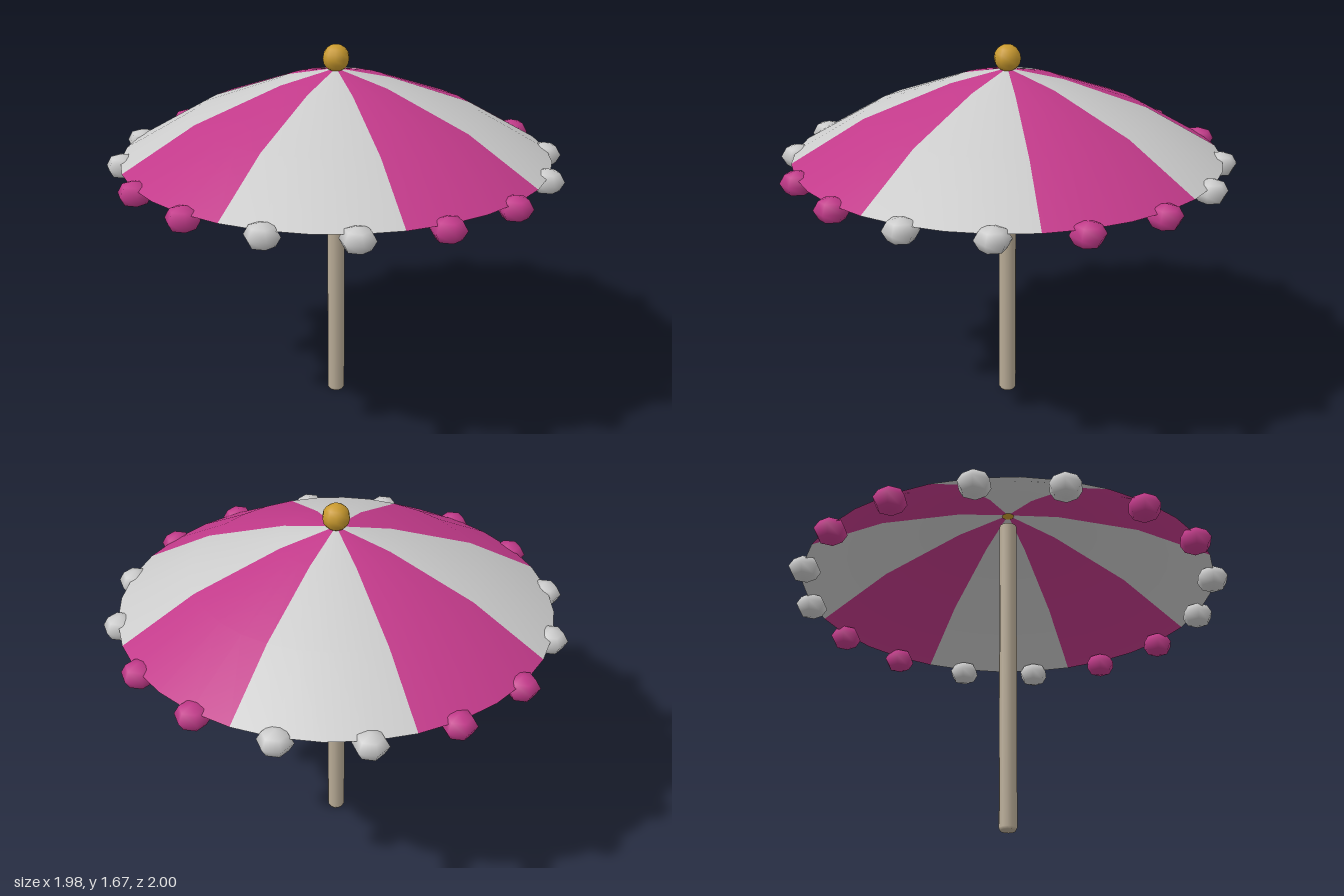
import * as THREE from 'three';

const PANELS = 8;
const STEP = (Math.PI * 2) / PANELS;

export function createModel() {
  const model = new THREE.Group();
  model.name = 'parasol';

  const mat = (color, side = THREE.FrontSide) =>
    new THREE.MeshStandardMaterial({ color, side });
  const panelMats = [mat(0xc23a8a, THREE.DoubleSide), mat(0xcccccc, THREE.DoubleSide)];
  const beadMats = [mat(0xc23a8a), mat(0xcccccc)];

  const add = (parent, name, geometry, material, x = 0, y = 0, z = 0) => {
    const mesh = new THREE.Mesh(geometry, material);
    mesh.name = name;
    mesh.position.set(x, y, z);
    parent.add(mesh);
    return mesh;
  };

  // Pole with a slightly chamfered foot
  const poleProfile = [[0, 0], [0.034, 0], [0.04, 0.012], [0.04, 1.5], [0, 1.5]]
    .map(([r, y]) => new THREE.Vector2(r, y));
  add(model, 'pole', new THREE.LatheGeometry(poleProfile, 12), mat(0xb8ab96));

  // Ball on the tip
  add(model, 'finial', new THREE.SphereGeometry(0.06, 10, 8), mat(0xc8992e), 0, 1.61, 0);

  // Thin canopy: alternating wedges, profile from rim to apex
  const canopy = new THREE.Group();
  canopy.name = 'canopy';
  model.add(canopy);
  const canopyProfile = [[0.95, 1.17], [0.63, 1.36], [0.25, 1.505], [0, 1.565]]
    .map(([r, y]) => new THREE.Vector2(r, y));

  // Squashed low-poly bead, pointed towards front and back
  const beadGeometry = new THREE.SphereGeometry(0.076, 6, 4);
  beadGeometry.rotateY(Math.PI / 2);
  beadGeometry.scale(1, 0.74, 1);

  for (let i = 0; i < PANELS; i++) {
    add(canopy, 'canopyPanel' + (i + 1),
      new THREE.LatheGeometry(canopyProfile, 4, i * STEP, STEP), panelMats[i % 2]);

    // Two beads hang from the rim of each panel
    for (const t of [0.25, 0.75]) {
      const a = (i + t) * STEP;
      add(canopy, 'rimBead', beadGeometry, beadMats[i % 2],
        0.94 * Math.sin(a), 1.145, 0.94 * Math.cos(a));
    }
  }

  return model;
}
